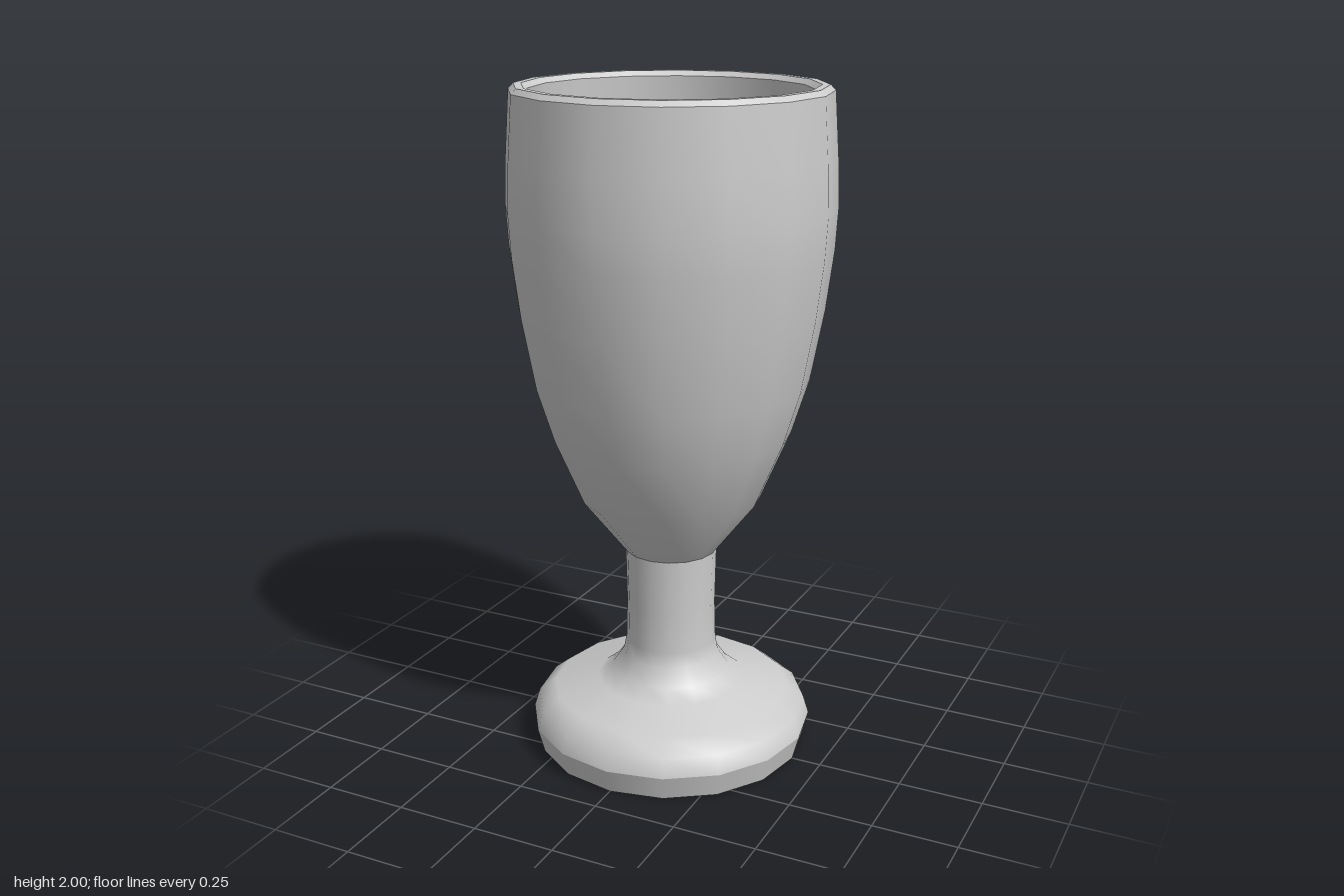
import * as THREE from 'three';

const SIDES = 16;

export function createModel() {
  const goblet = new THREE.Group();
  goblet.name = 'goblet';

  const grey = new THREE.MeshStandardMaterial({ color: 0xcccccc });
  grey.name = 'grey';

  // Each [radius, height] profile is smooth within itself; seams between parts stay sharp.
  function turned(name, profile) {
    const points = profile.map(([r, y]) => new THREE.Vector2(r, y));
    const mesh = new THREE.Mesh(new THREE.LatheGeometry(points, SIDES), grey);
    mesh.name = name;
    goblet.add(mesh);
  }

  // Foot and stem
  turned('footBottom', [[0, 0], [0.41, 0]]);
  turned('footEdge', [[0.41, 0], [0.43, 0.075]]);
  turned('footAndStem', [
    [0.43, 0.075], [0.413, 0.13], [0.36, 0.172], [0.225, 0.2], [0.18, 0.235],
    [0.145, 0.285], [0.137, 0.33], [0.134, 0.45], [0.138, 0.625],
  ]);

  // Outside of the bowl
  turned('bowlOutside', [
    [0.138, 0.625], [0.27, 0.795], [0.355, 0.995], [0.405, 1.155], [0.444, 1.365],
    [0.466, 1.54], [0.473, 1.66], [0.468, 1.8], [0.455, 1.985],
  ]);

  // Bevelled lip
  turned('lipOuterBevel', [[0.455, 1.985], [0.44, 2]]);
  turned('lipTop', [[0.44, 2], [0.418, 2]]);
  turned('lipInnerBevel', [[0.418, 2], [0.402, 1.985]]);

  // Hollow of the bowl, running down to the centre
  turned('bowlInside', [
    [0.402, 1.985], [0.415, 1.8], [0.42, 1.66], [0.413, 1.54], [0.392, 1.365],
    [0.352, 1.155], [0.304, 0.995], [0.22, 0.82], [0.1, 0.71], [0, 0.69],
  ]);

  return goblet;
}
